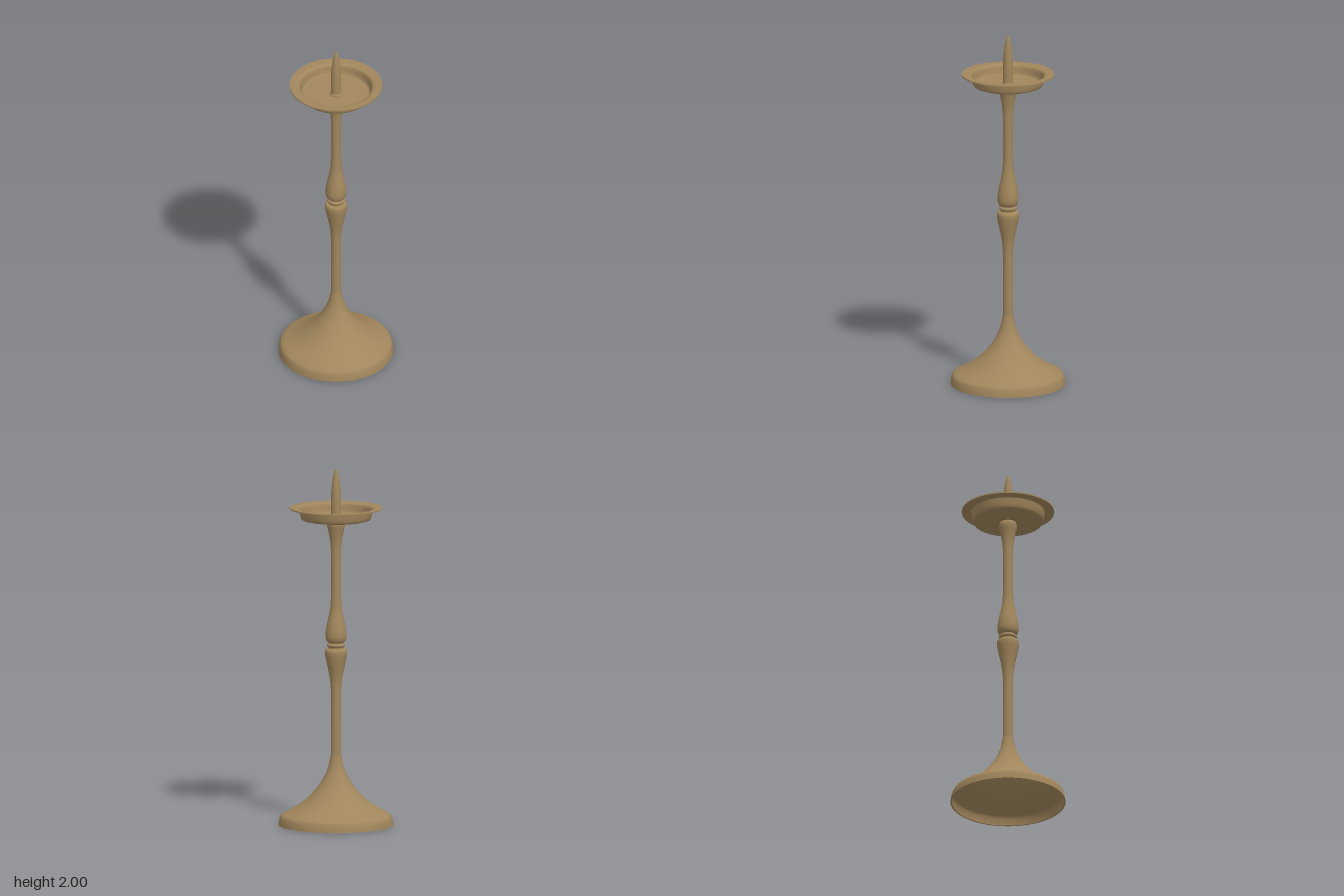
import * as THREE from 'three';

export function createModel() {
  const group = new THREE.Group();
  group.name = 'candlestick';
  const brass = new THREE.MeshStandardMaterial({ color: 0xa1865c, side: THREE.DoubleSide });
  brass.name = 'aged brass';

  // Turns a list of [radius, height] points about the y axis, smoothed by a spline if asked.
  function turned(points, smoothSteps = 0) {
    let profile = points.map(([r, y]) => new THREE.Vector2(r, y));
    if (smoothSteps) {
      const curve = new THREE.CatmullRomCurve3(
        points.map(([r, y]) => new THREE.Vector3(r, y, 0)), false, 'centripetal');
      profile = curve.getPoints(smoothSteps).map(p => new THREE.Vector2(Math.max(p.x, 0), p.y));
    }
    return new THREE.LatheGeometry(profile, 64);
  }

  // Each strip is a smooth run; edges between strips stay sharp.
  function part(name, strips) {
    const holder = new THREE.Group();
    holder.name = name;
    strips.forEach(([points, steps], i) => {
      const mesh = new THREE.Mesh(turned(points, steps), brass);
      mesh.name = name + 'Surface' + (i + 1);
      holder.add(mesh);
    });
    group.add(holder);
  }

  // Hollow bell foot
  part('foot', [
    [[[0.32, 0], [0.318, 0.015], [0.312, 0.04], [0.305, 0.053], [0.29, 0.063], [0.255, 0.081],
      [0.205, 0.112], [0.15, 0.158], [0.1, 0.215], [0.065, 0.272], [0.042, 0.33], [0.029, 0.395]], 48],
    [[[0.312, 0], [0.32, 0]], 0],
  ]);

  // Lower stem swelling into the knop
  part('lowerStem', [
    [[[0.029, 0.395], [0.028, 0.6], [0.028, 0.74], [0.033, 0.81], [0.044, 0.87], [0.056, 0.925],
      [0.062, 0.96], [0.061, 0.98], [0.053, 0.99], [0.043, 0.991]], 60],
  ]);

  // Ring between the two swellings
  part('middleRing', [
    [[[0.043, 0.99], [0.043, 0.998], [0.049, 1.003], [0.051, 1.01], [0.049, 1.016], [0.043, 1.02], [0.043, 1.027]], 24],
  ]);

  // Upper stem: teardrop, shaft and flared head
  part('upperStem', [
    [[[0.042, 1.022], [0.052, 1.032], [0.058, 1.05], [0.058, 1.08], [0.052, 1.12], [0.042, 1.165],
      [0.032, 1.22], [0.028, 1.32], [0.028, 1.5], [0.031, 1.58], [0.041, 1.64], [0.05, 1.68],
      [0.05, 1.695], [0.044, 1.708], [0.036, 1.714]], 90],
  ]);

  // Drip pan: underside, rim edge, top face and floor
  part('dripPan', [
    [[[0, 1.712], [0.178, 1.712]], 0],
    [[[0.178, 1.712], [0.19, 1.716], [0.197, 1.728], [0.206, 1.772]], 20],
    [[[0.206, 1.772], [0.257, 1.775]], 0],
    [[[0.257, 1.775], [0.257, 1.782]], 0],
    [[[0.257, 1.782], [0.218, 1.78], [0.207, 1.776], [0.201, 1.77], [0.192, 1.732], [0.186, 1.723], [0.178, 1.72]], 32],
    [[[0.178, 1.72], [0, 1.72]], 0],
  ]);

  // Pricket spike with a small collar at its foot
  part('spike', [
    [[[0.035, 1.719], [0.034, 1.727], [0.029, 1.732]], 8],
    [[[0.029, 1.73], [0.028, 1.84], [0.025, 1.89], [0.019, 1.94], [0.011, 1.98], [0.005, 1.996], [0, 2]], 36],
  ]);

  return group;
}
